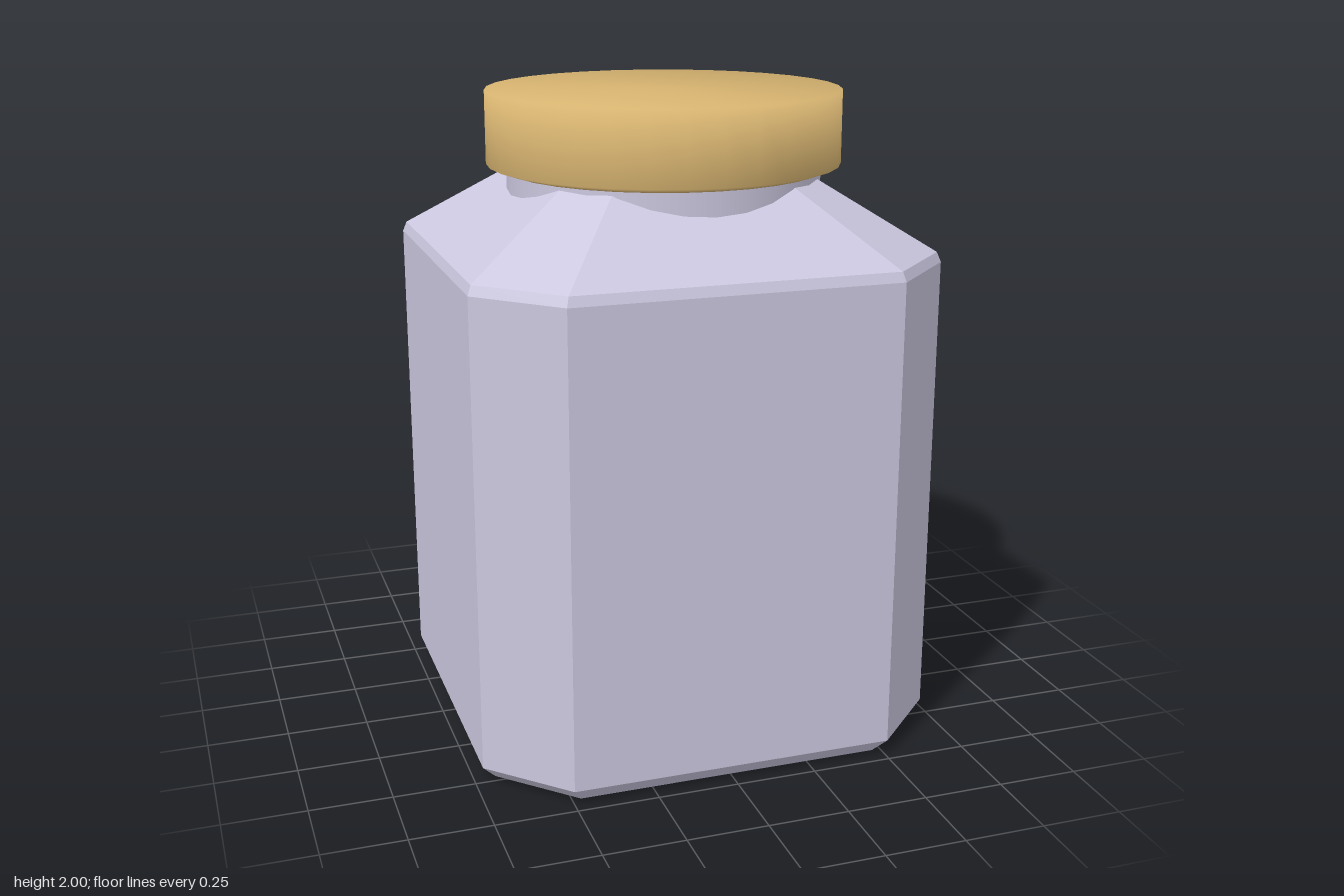
import * as THREE from 'three';

// Closed faceted solid: one octagonal outline scaled per level [scale, y]
function octagonLoft(outline, levels) {
  const pos = [];
  const n = outline.length;
  const at = ([s, y], j) => [outline[j % n][0] * s, y, outline[j % n][1] * s];
  for (let i = 0; i < levels.length - 1; i++) {
    const lo = levels[i], hi = levels[i + 1];
    for (let j = 0; j < n; j++) {
      if (hi[0] > 0) pos.push(...at(lo, j), ...at(hi, j), ...at(hi, j + 1));
      if (lo[0] > 0) pos.push(...at(lo, j), ...at(hi, j + 1), ...at(lo, j + 1));
    }
  }
  const geo = new THREE.BufferGeometry();
  geo.setAttribute('position', new THREE.Float32BufferAttribute(pos, 3));
  geo.computeVertexNormals();
  return geo;
}

function lathe(profile) {
  return new THREE.LatheGeometry(profile.map(([r, y]) => new THREE.Vector2(r, y)), 32);
}

export function createModel() {
  const group = new THREE.Group();
  const add = (name, geometry, material) => {
    const mesh = new THREE.Mesh(geometry, material);
    mesh.name = name;
    group.add(mesh);
    return mesh;
  };
  const glassColor = 0xcbc7df;
  const glassFlat = new THREE.MeshStandardMaterial({ color: glassColor, flatShading: true });
  const glassSmooth = new THREE.MeshStandardMaterial({ color: glassColor });
  const lidMaterial = new THREE.MeshStandardMaterial({ color: 0xd6b370, side: THREE.DoubleSide });

  // Jar body: square with cut corners, bevelled base, sloping shoulders
  const w = 0.727, c = 0.503;
  const outline = [[w, -c], [w, c], [c, w], [-c, w], [-w, c], [-w, -c], [-c, -w], [c, -w]];
  add('body', octagonLoft(outline, [
    [0, 0], [0.94, 0], [1, 0.05], [1, 1.505], [0.985, 1.535], [0.53, 1.755], [0, 1.755],
  ]), glassFlat);

  // Round neck rising out of the shoulders
  const neck = add('neck', lathe([[0.488, 1.62], [0.488, 1.77]]), glassSmooth);

  // Lid with a small chamfer at its lower rim, softly shaded all over
  const lid = add('lid', lathe([[0, 1.758], [0.5, 1.758], [0.55, 1.775], [0.55, 2], [0, 2]]), lidMaterial);

  // Neck and lid sit slightly off the body's axis
  for (const part of [neck, lid]) part.position.set(0.008, 0, 0.008);

  return group;
}
